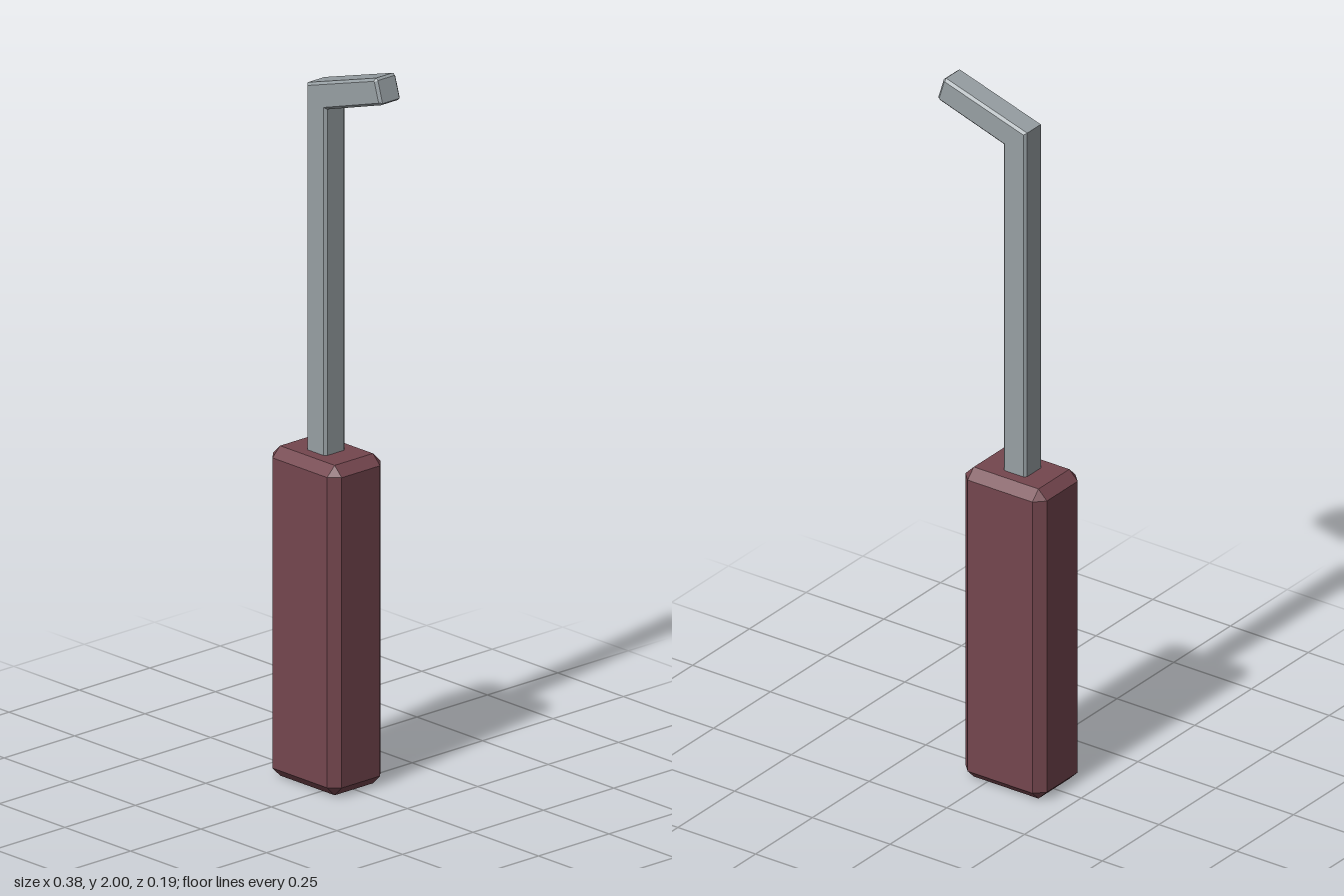
import * as THREE from 'three';
import { ConvexGeometry } from 'three/addons/geometries/ConvexGeometry.js';

// Box with every edge and corner cut flat
function chamferedBox(w, h, d, c) {
  const points = [];
  for (const sx of [-1, 1]) for (const sy of [-1, 1]) for (const sz of [-1, 1]) {
    const x = sx * w / 2, y = sy * h / 2, z = sz * d / 2;
    points.push(
      new THREE.Vector3(x, y - sy * c, z - sz * c),
      new THREE.Vector3(x - sx * c, y, z - sz * c),
      new THREE.Vector3(x - sx * c, y - sy * c, z)
    );
  }
  return new ConvexGeometry(points);
}

export function createModel() {
  const model = new THREE.Group();
  model.name = 'hookTool';

  const handleRed = new THREE.MeshStandardMaterial({ color: 0x74464e });
  handleRed.name = 'handleRed';
  const steelGrey = new THREE.MeshStandardMaterial({ color: 0x979fa3 });
  steelGrey.name = 'steelGrey';

  // Block handle
  const handle = new THREE.Mesh(chamferedBox(0.262, 0.91, 0.19, 0.027), handleRed);
  handle.name = 'handle';
  handle.position.set(-0.058, 0.455, 0);
  model.add(handle);

  // Bent square bar: straight shaft, mitred bend and angled tip
  const outline = [
    [-0.098, 0.88], [-0.023, 0.88], [-0.023, 1.865],
    [0.182, 1.93], [0.188, 1.936], [0.17, 1.995], [0.163, 2.0],
    [-0.098, 1.92],
  ].map(([x, y]) => new THREE.Vector2(x, y));
  const bevel = 0.007, thickness = 0.074;
  const barGeometry = new THREE.ExtrudeGeometry(new THREE.Shape(outline), {
    depth: thickness - 2 * bevel,
    bevelEnabled: true,
    bevelThickness: bevel,
    bevelSize: bevel,
    bevelOffset: -bevel,
    bevelSegments: 1,
  });
  barGeometry.translate(0, 0, bevel - thickness / 2);
  const bar = new THREE.Mesh(barGeometry, steelGrey);
  bar.name = 'bentShaft';
  model.add(bar);

  return model;
}
